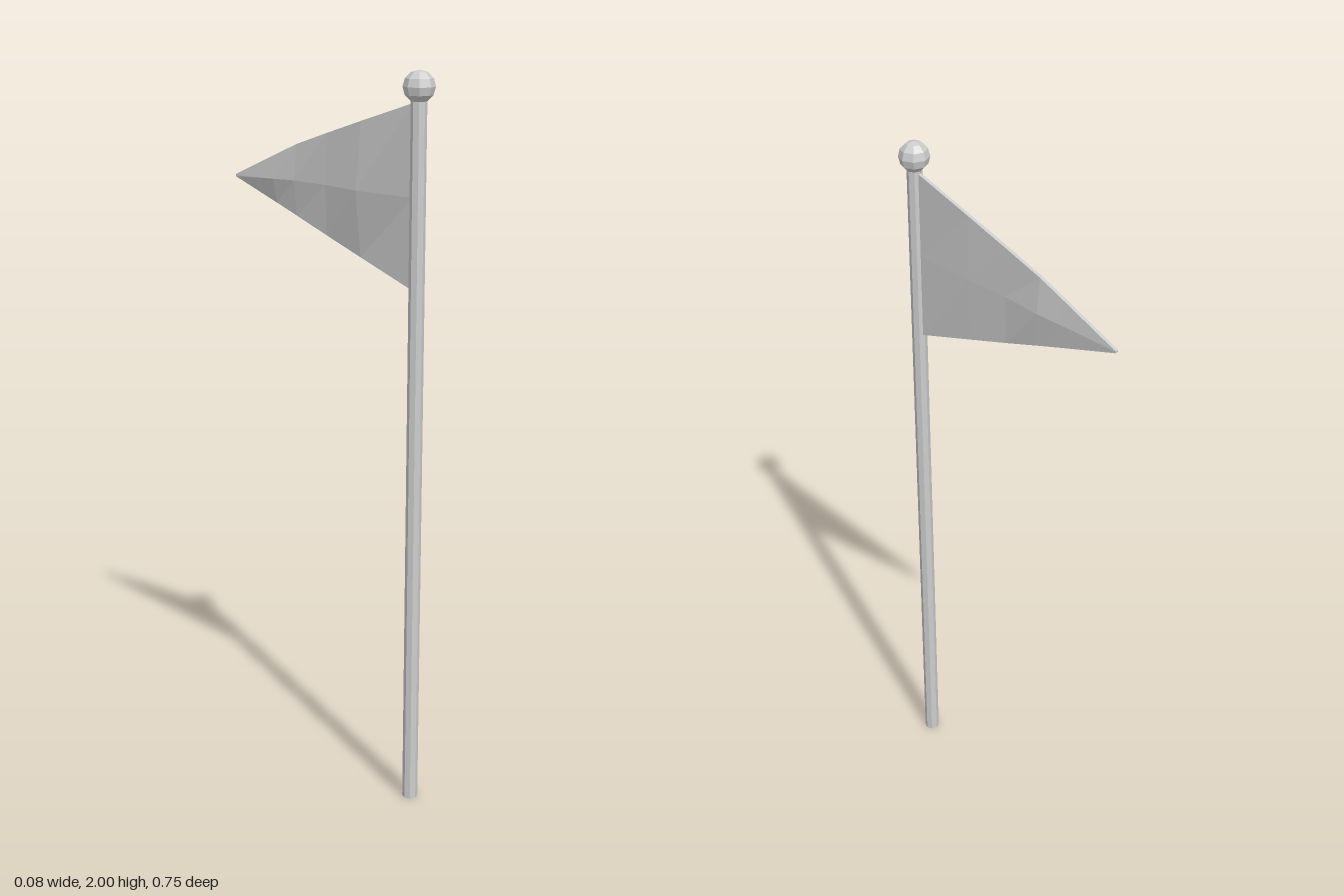
import * as THREE from 'three';

const material = new THREE.MeshStandardMaterial({ color: 0xcccccc, flatShading: true });
const POLE_Z = 0.333;

function add(group, name, geometry, x, y, z) {
  const mesh = new THREE.Mesh(geometry, material);
  mesh.name = name;
  mesh.position.set(x, y, z);
  group.add(mesh);
}

// Tapering pennant: six-point rings from the pole to the tip, rippled at mid height
function pennantGeometry() {
  // z, top y, bottom y, bulge on the left (+x), bulge on the right (-x)
  const stations = [
    [0.32, 1.917, 1.437, 0.005, -0.005],
    [0.13, 1.857, 1.498, 0.010, -0.025],
    [0.00, 1.815, 1.540, 0.007, -0.012],
    [-0.12, 1.775, 1.580, 0.017, -0.016],
    [-0.20, 1.742, 1.606, 0.012, -0.020],
    [-0.375, 1.668, 1.662, 0.005, -0.005],
  ];
  const h = 0.005;
  const positions = [];
  const index = [];
  for (const [z, top, bottom, left, right] of stations) {
    const mid = (top + bottom) / 2;
    positions.push(h, top, z, left, mid, z, h, bottom, z);
    positions.push(-h, bottom, z, right, mid, z, -h, top, z);
  }
  for (let s = 0; s < stations.length - 1; s++) {
    for (let i = 0; i < 6; i++) {
      const a = s * 6 + i, c = s * 6 + (i + 1) % 6;
      index.push(a, c, a + 6, c, c + 6, a + 6);
    }
  }
  // End caps at the pole and at the tip
  const tip = (stations.length - 1) * 6;
  for (let i = 1; i < 5; i++) {
    index.push(0, i + 1, i);
    index.push(tip, tip + i, tip + i + 1);
  }
  const geometry = new THREE.BufferGeometry();
  geometry.setAttribute('position', new THREE.Float32BufferAttribute(positions, 3));
  geometry.setIndex(index);
  geometry.computeVertexNormals();
  return geometry;
}

export function createModel() {
  const group = new THREE.Group();
  group.name = 'flagpole';

  // Slim octagonal pole
  add(group, 'pole', new THREE.CylinderGeometry(0.021, 0.021, 1.93, 8), 0, 0.965, POLE_Z);

  // Faceted ball on top
  add(group, 'finial', new THREE.SphereGeometry(0.042, 8, 6), 0, 1.958, POLE_Z);

  // Triangular flag trailing towards the back
  add(group, 'pennant', pennantGeometry(), 0, 0, 0);

  return group;
}
